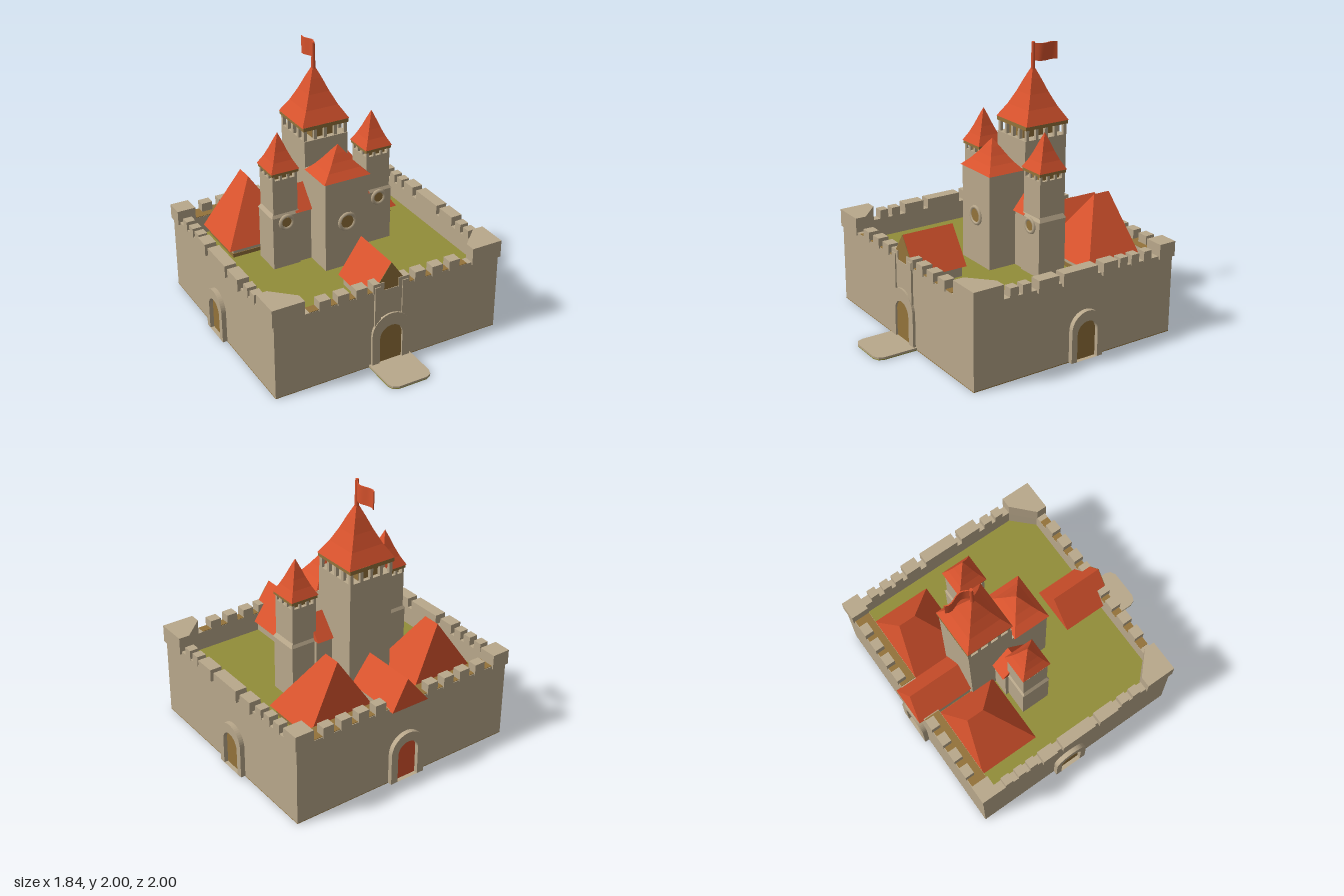
import * as THREE from 'three';

const mat = (name, color) => {
  const m = new THREE.MeshStandardMaterial({ color });
  m.name = name;
  return m;
};

export function createModel() {
  const stone = mat('stone', 0xb9a88b);
  const red = mat('roofRed', 0xd8532d);
  const brown = mat('timberBrown', 0x94733a);
  const green = mat('grassGreen', 0x928d39);
  const root = new THREE.Group();
  root.name = 'castle';

  const add = (name, geo, material, parent = root) => {
    const mesh = new THREE.Mesh(geo, material);
    mesh.name = name;
    parent.add(mesh);
    return mesh;
  };
  const box = (name, m, x0, x1, y0, y1, z0, z1, parent) => {
    const g = new THREE.BoxGeometry(x1 - x0, y1 - y0, z1 - z0);
    g.translate((x0 + x1) / 2, (y0 + y1) / 2, (z0 + z1) / 2);
    return add(name, g, m, parent);
  };
  const mirrored = (fn) => [-1, 1].forEach(fn);
  // box given for the +x side, placed on side s
  const sideBox = (s, name, m, x0, x1, ...rest) =>
    s > 0 ? box(name, m, x0, x1, ...rest) : box(name, m, -x1, -x0, ...rest);
  // plan outline of [x, z] points raised from y0 to y1
  const plan = (name, m, pts, y0, y1, hole) => {
    const toV = ([x, z]) => new THREE.Vector2(x, -z);
    const s = new THREE.Shape(pts.map(toV));
    if (hole) s.holes.push(new THREE.Path(hole.map(toV)));
    const g = new THREE.ExtrudeGeometry(s, { depth: y1 - y0, bevelEnabled: false });
    g.rotateX(-Math.PI / 2).translate(0, y0, 0);
    return add(name, g, m);
  };
  // ridged roof on a rectangle, ridge along z from zf (front) to zb (back)
  const ridgeRoof = (x0, x1, z0, z1, y0, y1, xr, zf, zb) => {
    const A = [x0, y0, z1], B = [x1, y0, z1], C = [x1, y0, z0], D = [x0, y0, z0];
    const F = [xr, y1, zf], K = [xr, y1, zb];
    const faces = [A, B, F, B, C, K, B, K, F, C, D, K, D, A, F, D, F, K, A, D, C, A, C, B];
    const g = new THREE.BufferGeometry();
    g.setAttribute('position', new THREE.Float32BufferAttribute(faces.flat(), 3));
    g.computeVertexNormals();
    return g;
  };
  // slightly concave four-sided spire
  const spire = (name, cx, cz, halfX, halfZ, y0, y1) => {
    let g = new THREE.CylinderGeometry(0.001, Math.SQRT2, 1, 4, 4).rotateY(Math.PI / 4);
    const p = g.attributes.position;
    for (let i = 0; i < p.count; i++) {
      const t = p.getY(i) + 0.5;
      const k = 1 - 0.12 * Math.sin(Math.PI * t);
      p.setXYZ(i, p.getX(i) * k, t, p.getZ(i) * k);
    }
    g = g.toNonIndexed();
    g.scale(halfX, y1 - y0, halfZ).translate(cx, y0, cz);
    g.computeVertexNormals();
    add(name, g, red);
  };
  const archShape = (S, half, top) => {
    const s = new S();
    s.moveTo(-half, 0);
    s.lineTo(half, 0);
    s.lineTo(half, top - half);
    s.absarc(0, top - half, half, 0, Math.PI, false);
    s.lineTo(-half, 0);
    return s;
  };
  // arched gate facing +z, then turned into place
  const gate = (name, half, top, inHalf, inTop, depth, doorMat, x, z, ry) => {
    const g = new THREE.Group();
    g.name = name;
    const ring = archShape(THREE.Shape, half, top);
    ring.holes.push(archShape(THREE.Path, inHalf, inTop));
    add('gateArch', new THREE.ExtrudeGeometry(ring, { depth, bevelEnabled: false }), stone, g);
    add('gateDoor', new THREE.ExtrudeGeometry(archShape(THREE.Shape, inHalf, inTop),
      { depth: 0.005, bevelEnabled: false }), doorMat, g);
    g.position.set(x, 0.005, z);
    g.rotation.y = ry;
    root.add(g);
  };

  // curtain wall, yard and underside
  const X = 0.885, Z0 = -0.955, Z1 = 0.69;
  const yard = [[-0.82, -0.83], [-0.82, 0.47], [-0.67, 0.62], [0.67, 0.62], [0.82, 0.47], [0.82, -0.83]];
  plan('curtainWall', stone, [[-X, Z1], [X, Z1], [X, Z0], [-X, Z0]], 0.005, 0.6, yard);
  plan('yardGrass', green, [...yard].reverse(), 0.45, 0.46);
  box('underside', brown, -X, X, 0, 0.006, Z0, Z1);

  // battlements
  mirrored((s) => {
    const corner = [[0.9, 0.7], [0.9, 0.47], [0.82, 0.47], [0.66, 0.62], [0.66, 0.7]];
    const pts = corner.map(([x, z]) => [x * s, z]);
    plan('frontCorner', stone, s > 0 ? pts : pts.reverse(), 0.58, 0.71);
    sideBox(s, 'backCorner', stone, 0.76, 0.9, 0.58, 0.69, -0.965, -0.83);
    for (const x of [0.1, 0.23, 0.37, 0.51])
      sideBox(s, 'frontMerlon', stone, x - 0.042, x + 0.042, 0.59, 0.665, 0.62, 0.698);
    for (const x of [0.22, 0.36, 0.5, 0.64])
      sideBox(s, 'backMerlon', stone, x - 0.042, x + 0.042, 0.59, 0.67, -0.96, -0.89);
    for (const [a, b] of [[0.04, 0.2], [-0.28, 0], [-0.45, -0.33]])
      sideBox(s, 'broadMerlon', stone, 0.82, 0.908, 0.58, 0.672, a, b);
    for (const z of [0.28, 0.38, -0.52, -0.62, -0.73])
      sideBox(s, 'sideMerlon', stone, 0.82, 0.888, 0.59, 0.665, z - 0.033, z + 0.033);
    sideBox(s, 'frontWalk', brown, 0.14, 0.62, 0.597, 0.604, 0.622, 0.688);
    sideBox(s, 'backWalk', brown, 0.15, 0.78, 0.597, 0.604, -0.95, -0.832);
    gate('sideGate', 0.13, 0.36, 0.085, 0.285, 0.035, brown, s * X, -0.2, s * Math.PI / 2);
  });

  // front gatehouse and path
  gate('frontGate', 0.15, 0.4, 0.09, 0.305, 0.02, brown, 0, Z1, 0);
  mirrored((s) => sideBox(s, 'gatePilaster', stone, 0.085, 0.13, 0.3, 0.64, 0.68, 0.705));
  box('gatePanel', stone, -0.09, 0.09, 0.39, 0.6, 0.68, 0.696);
  box('gatehouseWall', stone, -0.15, 0.15, 0.46, 0.55, 0.31, 0.64);
  add('gatehouseRoof', ridgeRoof(-0.18, 0.18, 0.29, 0.688, 0.54, 0.8, 0, 0.688, 0.29), red);
  const gable = new THREE.Shape([[-0.138, 0.6], [0.138, 0.6], [0, 0.8]].map((p) => new THREE.Vector2(...p)));
  const gableGeo = new THREE.ExtrudeGeometry(gable, { depth: 0.006, bevelEnabled: false });
  add('gatehouseGable', gableGeo.translate(0, 0, 0.686), brown);
  const path = [[-0.165, 0.68], [-0.165, 0.94], [-0.15, 0.98], [-0.11, 1], [0.11, 1], [0.15, 0.98], [0.165, 0.94], [0.165, 0.68]];
  plan('path', stone, path, 0.006, 0.02);
  plan('pathUnderside', green, path, 0, 0.006);

  // rear gatehouse
  gate('backGate', 0.14, 0.37, 0.085, 0.3, 0.035, red, 0, Z0, Math.PI);
  box('rearGatehouseWall', stone, -0.13, 0.13, 0.46, 0.6, -0.955, -0.4);
  add('rearGatehouseRoof', ridgeRoof(-0.15, 0.15, -0.995, -0.37, 0.59, 0.785, 0, -0.37, -0.96), red);

  // great halls on both sides of the keep
  mirrored((s) => {
    sideBox(s, 'hallWall', stone, 0.17, 0.66, 0.46, 0.54, -0.81, -0.4);
    sideBox(s, 'hallPlinth', brown, 0.165, 0.665, 0.46, 0.49, -0.815, -0.395);
    const [a, b] = s > 0 ? [0.15, 0.7] : [-0.7, -0.15];
    add('hallRoof', ridgeRoof(a, b, -0.83, -0.37, 0.53, 0.96, s * 0.42, -0.62, -0.75), red);
  });

  // cross wing between the towers
  box('wingWall', stone, -0.3, 0.3, 0.46, 0.88, -0.35, -0.12);
  const wing = ridgeRoof(-0.135, 0.135, -0.3, 0.3, 0.87, 1.03, 0, 0.3, -0.3);
  add('wingRoof', wing.rotateY(Math.PI / 2).translate(0, 0, -0.235), red);

  // open gallery: core, posts and eaves board under a spire
  const gallery = (cx, cz, hx, hz, y0, y1, coreX, coreZ, n, post) => {
    box('galleryCore', brown, cx - coreX, cx + coreX, y0, y1, cz - coreZ, cz + coreZ);
    for (let i = 0; i <= n; i++) for (let j = 0; j <= n; j++) {
      if (i % n && j % n) continue;
      const x = cx + (hx - post) * (2 * i / n - 1), z = cz + (hz - post) * (2 * j / n - 1);
      box('galleryPost', stone, x - post, x + post, y0, y1, z - post, z + post);
    }
    box('eavesBoard', brown, cx - hx - 0.008, cx + hx + 0.008, y1 - 0.022, y1 + 0.006, cz - hz - 0.008, cz + hz + 0.008);
  };
  // round window with stone surround, facing +z
  const roundWindow = (x, y, z, r) => {
    add('windowSurround', new THREE.TorusGeometry(r + 0.012, 0.014, 6, 16).translate(x, y, z), stone);
    add('windowPane', new THREE.CylinderGeometry(r, r, 0.008, 16).rotateX(Math.PI / 2).translate(x, y, z + 0.002), brown);
  };

  // main keep with flag
  box('keepTower', stone, -0.172, 0.172, 0.46, 1.35, -0.55, -0.2);
  gallery(0, -0.38, 0.172, 0.172, 1.35, 1.45, 0.09, 0.14, 4, 0.012);
  spire('keepRoof', 0, -0.38, 0.186, 0.18, 1.455, 1.84);
  add('flagPole', new THREE.CylinderGeometry(0.012, 0.016, 0.22, 8).translate(0, 1.89, -0.38), red);
  const flag = new THREE.BoxGeometry(0.008, 0.125, 0.19, 1, 1, 8);
  const fp = flag.attributes.position;
  for (let i = 0; i < fp.count; i++) {
    const t = (0.095 - fp.getZ(i)) / 0.19;
    fp.setX(i, fp.getX(i) + 0.03 * t + 0.022 * Math.sin(t * 5.5));
    fp.setY(i, fp.getY(i) - 0.008 * t);
  }
  flag.computeVertexNormals();
  add('flag', flag.translate(0, 1.928, -0.48), red);

  // front tower
  box('frontTower', stone, -0.172, 0.172, 0.46, 1.155, -0.2, 0.095);
  spire('frontTowerRoof', 0, -0.04, 0.184, 0.145, 1.15, 1.365);
  roundWindow(0, 0.82, 0.096, 0.048);

  // flanking towers
  mirrored((s) => {
    const cx = s * 0.375, cz = -0.215;
    sideBox(s, 'flankTowerBase', stone, 0.27, 0.48, 0.46, 0.87, -0.325, -0.105);
    add('flankTowerLedge', new THREE.CylinderGeometry(0.093 * Math.SQRT2, 0.112 * Math.SQRT2, 0.035, 4)
      .rotateY(Math.PI / 4).toNonIndexed().translate(cx, 0.885, cz), stone).geometry.computeVertexNormals();
    sideBox(s, 'flankTowerShaft', stone, 0.28, 0.47, 0.87, 1.155, -0.315, -0.115);
    gallery(cx, cz, 0.095, 0.1, 1.15, 1.215, 0.07, 0.075, 3, 0.009);
    spire('flankTowerRoof', cx, cz, 0.108, 0.113, 1.215, 1.47);
    roundWindow(cx, 0.82, -0.104, 0.036);
  });

  return root;
}
